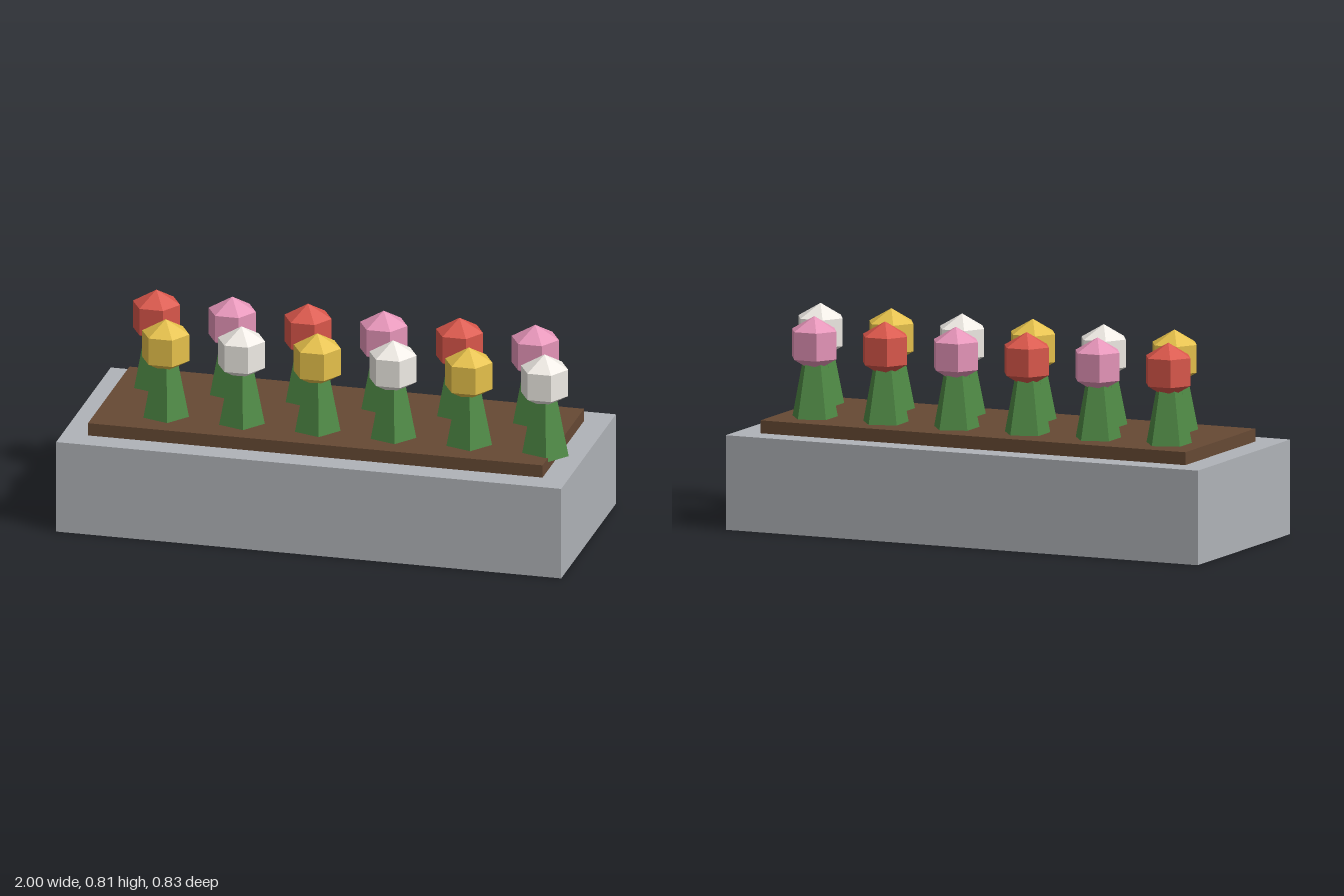
import * as THREE from 'three';

const material = (color) => new THREE.MeshStandardMaterial({ color, flatShading: true });

export function createModel() {
  const model = new THREE.Group();
  model.name = 'flowerPlanter';

  const add = (parent, name, geometry, mat, x, y, z) => {
    const mesh = new THREE.Mesh(geometry, mat);
    mesh.name = name;
    mesh.position.set(x, y, z);
    parent.add(mesh);
  };

  // Stone trough with a raised bed of soil
  add(model, 'trough', new THREE.BoxGeometry(2, 0.367, 0.83), material(0xb0b3b8), 0, 0.1835, 0);
  add(model, 'soil', new THREE.BoxGeometry(1.8, 0.05, 0.63), material(0x664934), 0, 0.392, 0);

  // Five-sided tapering stem with a corner towards +x, and a six-sided bloom
  const stemGeometry = new THREE.CylinderGeometry(0.0455, 0.0955, 0.25, 5).rotateY(Math.PI / 2);
  const bloomGeometry = new THREE.SphereGeometry(0.108, 6, 3);
  const stemMaterial = material(0x4f8a45);

  // Two staggered rows, each alternating two colours
  const rows = [
    { name: 'backFlower', x: -0.75, z: -0.15, colors: [0xd9564a, 0xe594b8] },
    { name: 'frontFlower', x: -0.635, z: 0.15, colors: [0xe5c04a, 0xeeeae4] },
  ];
  for (const row of rows) {
    const blooms = row.colors.map(material);
    for (let i = 0; i < 6; i++) {
      const flower = new THREE.Group();
      flower.name = row.name + (i + 1);
      flower.position.set(row.x + i * 0.3, 0, row.z);
      add(flower, 'stem', stemGeometry, stemMaterial, 0, 0.525, 0);
      add(flower, 'bloom', bloomGeometry, blooms[i % 2], 0, 0.7, 0);
      model.add(flower);
    }
  }
  return model;
}
